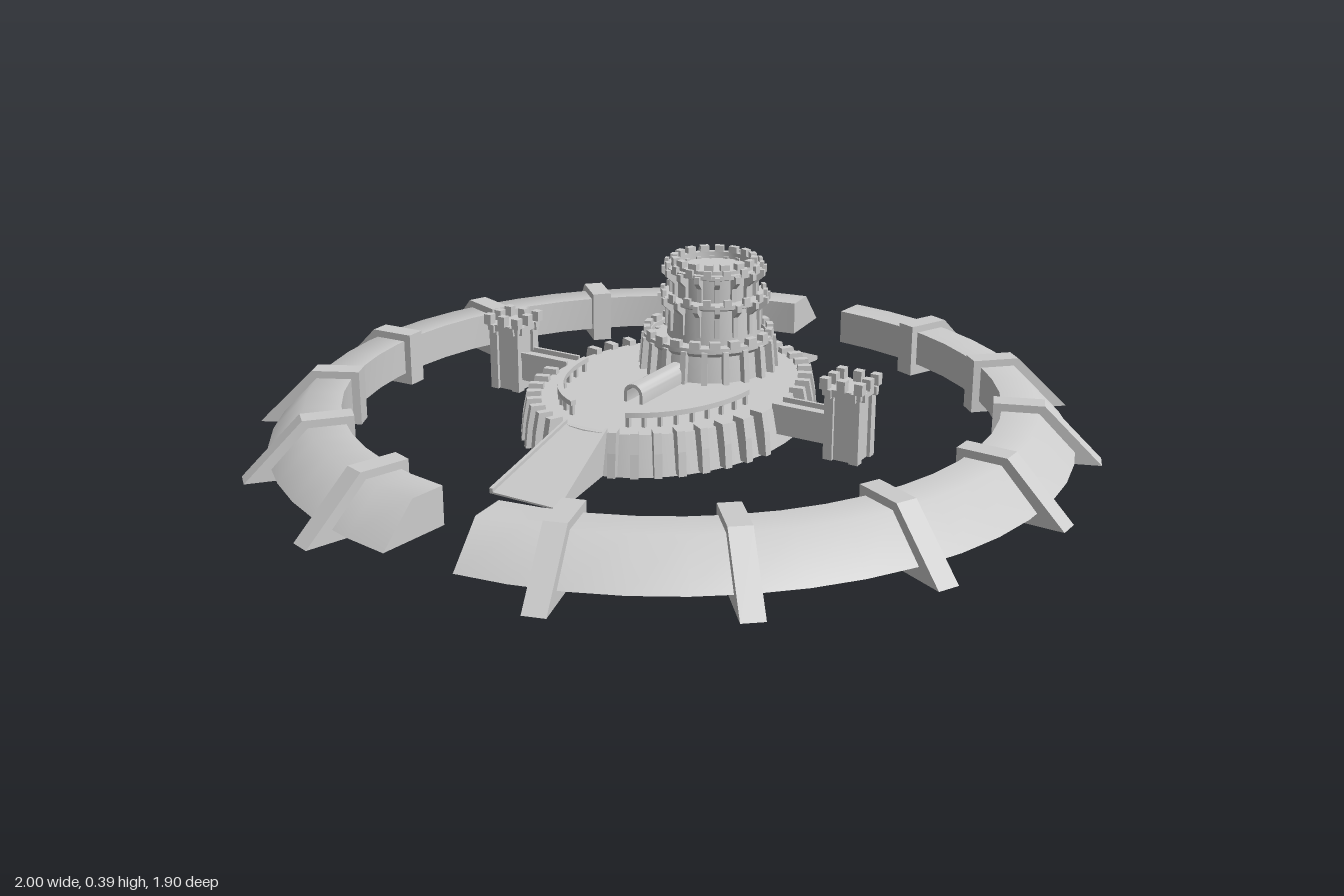
import * as THREE from 'three';
import { toCreasedNormals } from 'three/addons/utils/BufferGeometryUtils.js';

const stone = new THREE.MeshStandardMaterial({ color: 0xcccccc });
stone.name = 'stone grey';
const RAD = Math.PI / 180;

function mesh(name, geo, parent, x = 0, y = 0, z = 0) {
  const m = new THREE.Mesh(geo, stone);
  m.name = name;
  m.position.set(x, y, z);
  parent.add(m);
  return m;
}
const group = (name, parent, x = 0, y = 0, z = 0) => {
  const g = new THREE.Group();
  g.name = name;
  g.position.set(x, y, z);
  parent.add(g);
  return g;
};
const box = (name, parent, w, h, d, x, y, z) =>
  mesh(name, new THREE.BoxGeometry(w, h, d), parent, x, y + h / 2, z);
const shapeOf = pts => new THREE.Shape(pts.map(p => new THREE.Vector2(...p)));

// Radial slab: profile is (distance outward, height), width runs sideways
function fin(pts, width) {
  const g = new THREE.ExtrudeGeometry(shapeOf(pts), { depth: width, bevelEnabled: false });
  return g.translate(0, 0, -width / 2);
}
// Profile swept along an arc about the y axis, with closed ends
function arcSweep(pts, from, to, steps) {
  const g = new THREE.ExtrudeGeometry(shapeOf(pts), { depth: 1, steps, bevelEnabled: false });
  const p = g.attributes.position;
  for (let i = 0; i < p.count; i++) {
    const r = p.getX(i), a = from + (to - from) * p.getZ(i);
    p.setXYZ(i, r * Math.cos(a), p.getY(i), r * Math.sin(a));
  }
  return toCreasedNormals(g, 50 * RAD);
}
function lathe(pts, segs, sx = 1, sz = 1) {
  const g = new THREE.LatheGeometry(pts.map(p => new THREE.Vector2(...p)), segs);
  return toCreasedNormals(g.scale(sx, 1, sz), 30 * RAD);
}
// Copies of one geometry spread around a circle
function around(name, geo, parent, count, r = 0, offset = 0) {
  for (let i = 0; i < count; i++) {
    const a = (i + offset) / count * Math.PI * 2;
    mesh(name, geo, parent, r * Math.cos(a), 0, r * Math.sin(a)).rotation.y = -a;
  }
}

function outerWall(root) {
  const g = group('outerWall', root, 0, 0, -0.018);
  const wall = [[0.77, 0.028], [0.94, 0.028], [0.855, 0.115], [0.77, 0.115]];
  const rib = fin([[0.75, 0], [1.0, 0], [0.865, 0.133], [0.75, 0.133]], 0.05);
  for (const s of [0, 180]) {
    mesh('wallHalf', arcSweep(wall, (s - 84.7) * RAD, (s + 84.7) * RAD, 24), g);
  }
  for (const s of [-1, 1]) for (let k = 1; k <= 7; k++) {
    mesh('wallRib', rib, g).rotation.y = -(-90 + s * 23.3 * k) * RAD;
  }
}

function mound(root) {
  const g = group('mound', root, 0, 0, -0.02);
  const rx = 0.305, rz = 0.395;
  // Hollow oval platform, open underneath
  mesh('platform', lathe([[0, 0.11], [0.86, 0.11], [0.86, 0.03], [1, 0.03],
    [0.94, 0.122], [0, 0.122]], 48, rx, rz), g);
  const buttress = fin([[-0.035, 0.035], [0.02, 0.035], [0.014, 0.09], [0.005, 0.135], [-0.028, 0.135]], 0.018);
  for (const sx of [-1, 1]) for (const sz of [-1, 1]) for (let i = 0; i < 8; i++) {
    const t = (14 + i * 8.6) * RAD, c = sx * Math.cos(t), s = sz * Math.sin(t);
    mesh('buttress', buttress, g, rx * c, 0, rz * s).rotation.y = -Math.atan2(s / rz, c / rx);
  }
}

// Wedge that widens and drops away from the mound, with low kerbs
function ramp(name, root, dir, z0, z1) {
  const g = group(name, root, 0, 0, z0);
  if (dir < 0) g.rotation.y = Math.PI;
  const len = Math.abs(z1 - z0);
  const taper = (geo) => {
    const p = geo.attributes.position;
    for (let i = 0; i < p.count; i++) {
      const t = p.getZ(i) / len;
      p.setX(i, p.getX(i) * (0.056 + 0.036 * t));
      if (p.getY(i) > 0) p.setY(i, p.getY(i) + 0.09 * (1 - t));
    }
    geo.computeVertexNormals();
    return geo;
  };
  const slab = (w, h, x) => taper(new THREE.BoxGeometry(w, h, len).translate(x, h / 2, len / 2));
  mesh('rampBody', slab(2, 0.004, 0), g, 0, 0.03, 0);
  for (const s of [-1, 1]) mesh('rampKerb', slab(0.1, 0.012, s * 0.95), g, 0, 0.03, 0);
}

function sideTower(root, s) {
  const g = group(s > 0 ? 'leftTower' : 'rightTower', root, s * 0.465, 0, -0.02);
  box('towerCore', g, 0.07, 0.155, 0.07, 0, 0.03, 0);
  box('towerCap', g, 0.092, 0.016, 0.092, 0, 0.182, 0);
  for (const x of [-1, 1]) for (const z of [-1, 1]) {
    box('cornerPost', g, 0.022, 0.155, 0.022, x * 0.032, 0.03, z * 0.032);
  }
  for (let i = -1; i <= 1; i++) for (let j = -1; j <= 1; j++) {
    if (i || j) box('merlon', g, 0.02, 0.026, 0.02, i * 0.042, 0.197, j * 0.042);
  }
  for (const q of [-1, 1]) {
    box('corbel', g, 0.012, 0.02, 0.104, q * 0.03, 0.178, 0);
    box('corbel', g, 0.104, 0.02, 0.012, 0, 0.178, q * 0.03);
  }
  // Bridge back to the mound
  box('bridge', g, 0.17, 0.06, 0.056, -s * 0.115, 0.06, 0);
  for (const q of [-1, 1]) box('bridgeParapet', g, 0.15, 0.014, 0.008, -s * 0.105, 0.118, q * 0.026);
}

function keep(root) {
  // Broad lower drum with leaning fins and battlements
  const d = group('lowerDrum', root, 0, 0, -0.19);
  mesh('drum', lathe([[0.155, 0.115], [0.148, 0.185], [0.158, 0.195], [0.158, 0.208],
    [0.14, 0.208], [0.14, 0.196], [0, 0.196]], 40), d);
  around('drumFin', fin([[0.13, 0.115], [0.172, 0.115], [0.164, 0.2], [0.13, 0.2]], 0.014), d, 20, 0, 0.5);
  around('drumMerlon', new THREE.BoxGeometry(0.016, 0.018, 0.026).translate(0, 0.214, 0), d, 20, 0.15);

  // Two upper tiers, each carrying a walkway on brackets
  const t = group('upperTower', root, 0, 0, -0.215);
  mesh('towerBody', lathe([[0.115, 0.19], [0.11, 0.28], [0.128, 0.288], [0.128, 0.298],
    [0.1, 0.298], [0.1, 0.352], [0.118, 0.358], [0.118, 0.368], [0.105, 0.368], [0.105, 0.376],
    [0.09, 0.376], [0.09, 0.36], [0, 0.36]], 40), t);
  const tiers = [{ r: 0.105, y: 0.215, top: 0.29, out: 0.138 }, { r: 0.095, y: 0.3, top: 0.358, out: 0.128 }];
  for (const { r, y, top, out } of tiers) {
    around('pilaster', fin([[r - 0.01, y], [r + 0.014, y], [r + 0.014, top - 0.025], [out, top - 0.008],
      [out, top + 0.008], [r - 0.01, top + 0.008]], 0.012), t, 16, 0, 0.5);
    around('walkMerlon', new THREE.BoxGeometry(0.009, 0.018, 0.018).translate(0, top + 0.013, 0), t, 16, out - 0.012);
  }
  around('topMerlon', new THREE.BoxGeometry(0.015, 0.016, 0.022).translate(0, 0.383, 0), t, 16, 0.097);
}

function courtyard(root) {
  // Vaulted passage leading to the keep
  const arch = (r, h) => {
    const s = new THREE.Shape();
    s.moveTo(r, 0).lineTo(r, h).absarc(0, h, r, 0, Math.PI, false).lineTo(-r, 0);
    return s;
  };
  const vault = arch(0.025, 0.022);
  vault.holes.push(new THREE.Path(arch(0.017, 0.022).getPoints(8)));
  const g = new THREE.ExtrudeGeometry(vault, { depth: 0.19, bevelEnabled: false, curveSegments: 8 });
  mesh('vaultedPassage', toCreasedNormals(g, 40 * RAD), root, 0, 0.12, -0.04);

  // Curved galleries on posts
  for (const [a, b] of [[0.05, 1.25], [Math.PI - 1.25, Math.PI - 0.05]]) {
    const s = new THREE.Shape();
    s.absellipse(0, 0, 0.23, 0.31, a, b, false, 0);
    s.absellipse(0, 0, 0.216, 0.296, b, a, true, 0);
    const slab = new THREE.ExtrudeGeometry(s, { depth: 0.012, bevelEnabled: false, curveSegments: 20 });
    mesh('gallery', slab.rotateX(Math.PI / 2), root, 0, 0.157, 0);
    for (let i = 0; i < 9; i++) {
      const t = a + (b - a) * (0.02 + 0.12 * i);
      box('galleryPost', root, 0.009, 0.03, 0.009, 0.223 * Math.cos(t), 0.118, 0.303 * Math.sin(t));
    }
  }
}

export function createModel() {
  const root = new THREE.Group();
  root.name = 'fortress';
  outerWall(root);
  mound(root);
  ramp('frontRamp', root, 1, 0.34, 0.572);
  ramp('backRamp', root, -1, -0.375, -0.605);
  for (const s of [-1, 1]) sideTower(root, s);
  courtyard(group('courtyard', root));
  keep(group('keep', root));
  return root;
}
